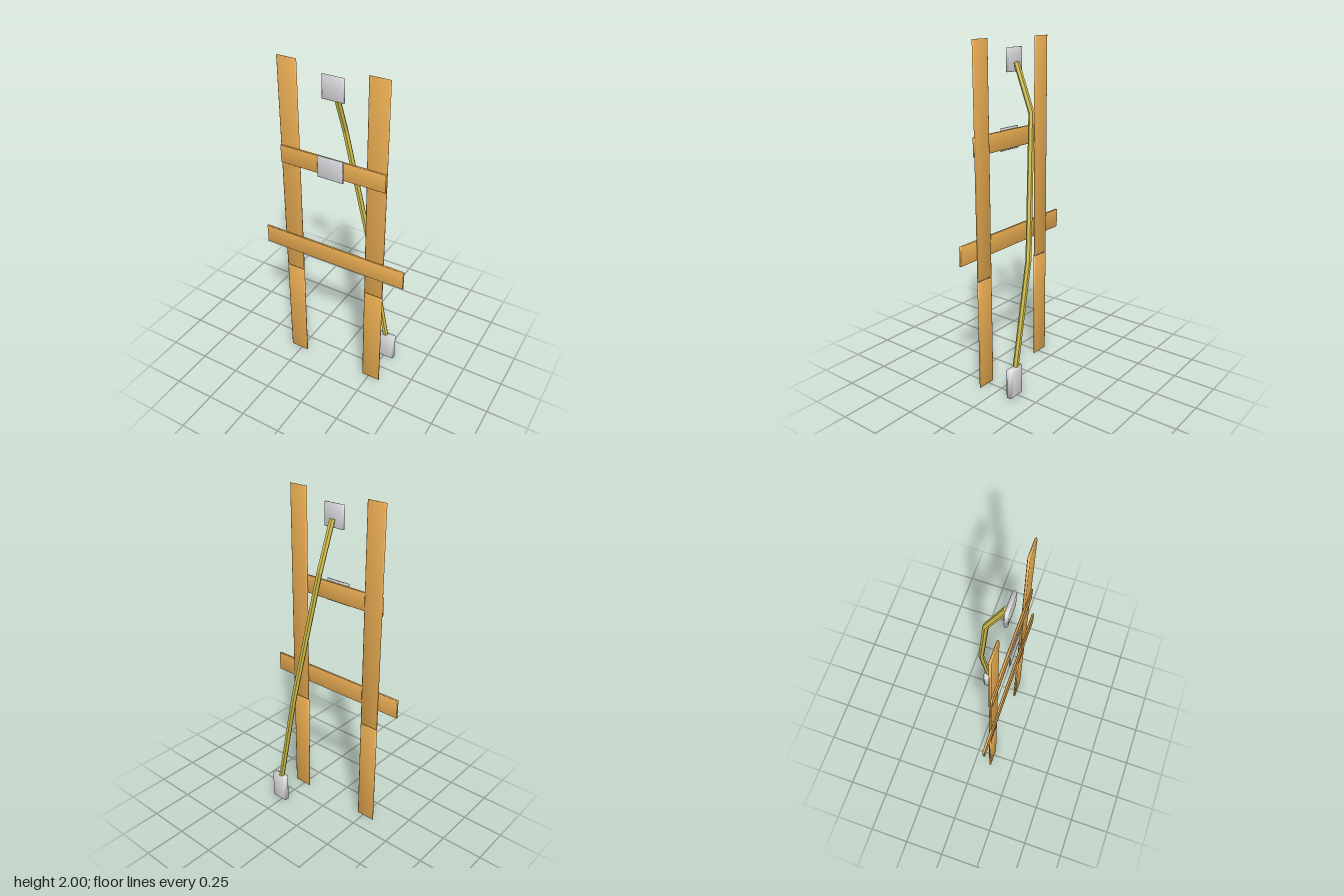
import * as THREE from 'three';

const mat = (name, color) => {
  const m = new THREE.MeshStandardMaterial({ color });
  m.name = name;
  return m;
};

// Board or plate spanning the given ranges, chamfered along its front and back edges
function plate(name, material, [x0, x1], [y0, y1], [z0, z1], bevelXY, bevelZ) {
  const w = (x1 - x0) / 2, h = (y1 - y0) / 2, d = (z1 - z0) / 2;
  const shape = new THREE.Shape();
  shape.moveTo(-w, -h).lineTo(w, -h).lineTo(w, h).lineTo(-w, h).closePath();
  const geo = new THREE.ExtrudeGeometry(shape, {
    depth: 2 * (d - bevelZ),
    bevelEnabled: true,
    bevelSegments: 1,
    bevelSize: bevelXY,
    bevelOffset: -bevelXY,
    bevelThickness: bevelZ,
  });
  geo.translate(0, 0, bevelZ - d);

  // Soft shading: corner normals lean outwards, gently on the faces and fully on the rim
  const pos = geo.attributes.position, normal = new THREE.Vector3();
  for (let i = 0; i < pos.count; i++) {
    const onFace = Math.abs(pos.getZ(i)) > d - bevelZ / 2;
    const lean = onFace ? 0.25 : 1;
    normal.set(
      Math.sign(pos.getX(i)) * lean,
      Math.sign(pos.getY(i)) * lean,
      Math.sign(pos.getZ(i)) * (onFace ? 1 : 0.4)
    ).normalize();
    geo.attributes.normal.setXYZ(i, normal.x, normal.y, normal.z);
  }
  const mesh = new THREE.Mesh(geo, material);
  mesh.name = name;
  mesh.position.set((x0 + x1) / 2, (y0 + y1) / 2, (z0 + z1) / 2);
  return mesh;
}

// Path of straight segments; each tube ring sits on a corner and mitres it
class BentPath extends THREE.Curve {
  constructor(points) {
    super();
    this.points = points;
  }
  getPointAt(u, target = new THREE.Vector3()) {
    return target.copy(this.points[Math.round(u * (this.points.length - 1))]);
  }
  getTangentAt(u, target = new THREE.Vector3()) {
    const p = this.points, i = Math.round(u * (p.length - 1));
    target.set(0, 0, 0);
    if (i > 0) target.add(p[i].clone().sub(p[i - 1]).normalize());
    if (i < p.length - 1) target.add(p[i + 1].clone().sub(p[i]).normalize());
    return target.normalize();
  }
}

export function createModel() {
  const wood = mat('wood', 0xe6aa50);
  const metal = mat('grey metal', 0xdadade);
  const brass = mat('olive brass', 0xd2bf4a);
  const model = new THREE.Group();
  model.name = 'ladderFrame';

  // Uprights, each in a lower and an upper length
  for (const [side, x] of [['left', 0.265], ['right', -0.265]]) {
    const span = [x - 0.058, x + 0.058];
    model.add(
      plate(side + 'LowerUpright', wood, span, [0, 0.668], [0.098, 0.112], 0.006, 0.004),
      plate(side + 'UpperUpright', wood, span, [0.673, 2], [0.098, 0.112], 0.006, 0.004)
    );
  }

  // Crossbars on the front of the uprights
  model.add(
    plate('upperCrossbar', wood, [-0.322, 0.322], [1.39, 1.497], [0.106, 0.12], 0.002, 0.002),
    plate('lowerCrossbar', wood, [-0.452, 0.452], [0.805, 0.92], [0.106, 0.12], 0.002, 0.002)
  );

  // Metal plates and the foot block
  model.add(
    plate('frontPlate', metal, [-0.08, 0.078], [1.377, 1.508], [0.125, 0.133], 0.003, 0.002),
    plate('topPlate', metal, [-0.066, 0.064], [1.817, 1.948], [0.08, 0.103], 0.008, 0.007),
    plate('footBlock', metal, [0.215, 0.318], [0.006, 0.187], [-0.135, -0.083], 0.012, 0.013)
  );

  // Bent six-sided rod running from the top plate to the foot block
  const points = [
    [0, 1.867, 0.075], [0, 1.6, -0.028], [0.133, 0.8, -0.109], [0.262, 0.14, -0.109],
  ].map((p) => new THREE.Vector3(...p));
  const path = new BentPath(points);
  const rodGeo = new THREE.TubeGeometry(path, points.length - 1, 0.017, 6).toNonIndexed();
  rodGeo.computeVertexNormals();
  const rod = new THREE.Mesh(rodGeo, brass);
  rod.name = 'bentRod';
  model.add(rod);

  // Cap on the visible rod end
  const cap = new THREE.Mesh(new THREE.CircleGeometry(0.017, 6), brass);
  cap.name = 'rodCap';
  cap.position.copy(points[0]);
  cap.lookAt(points[0].clone().sub(path.getTangentAt(0)));
  model.add(cap);

  return model;
}
